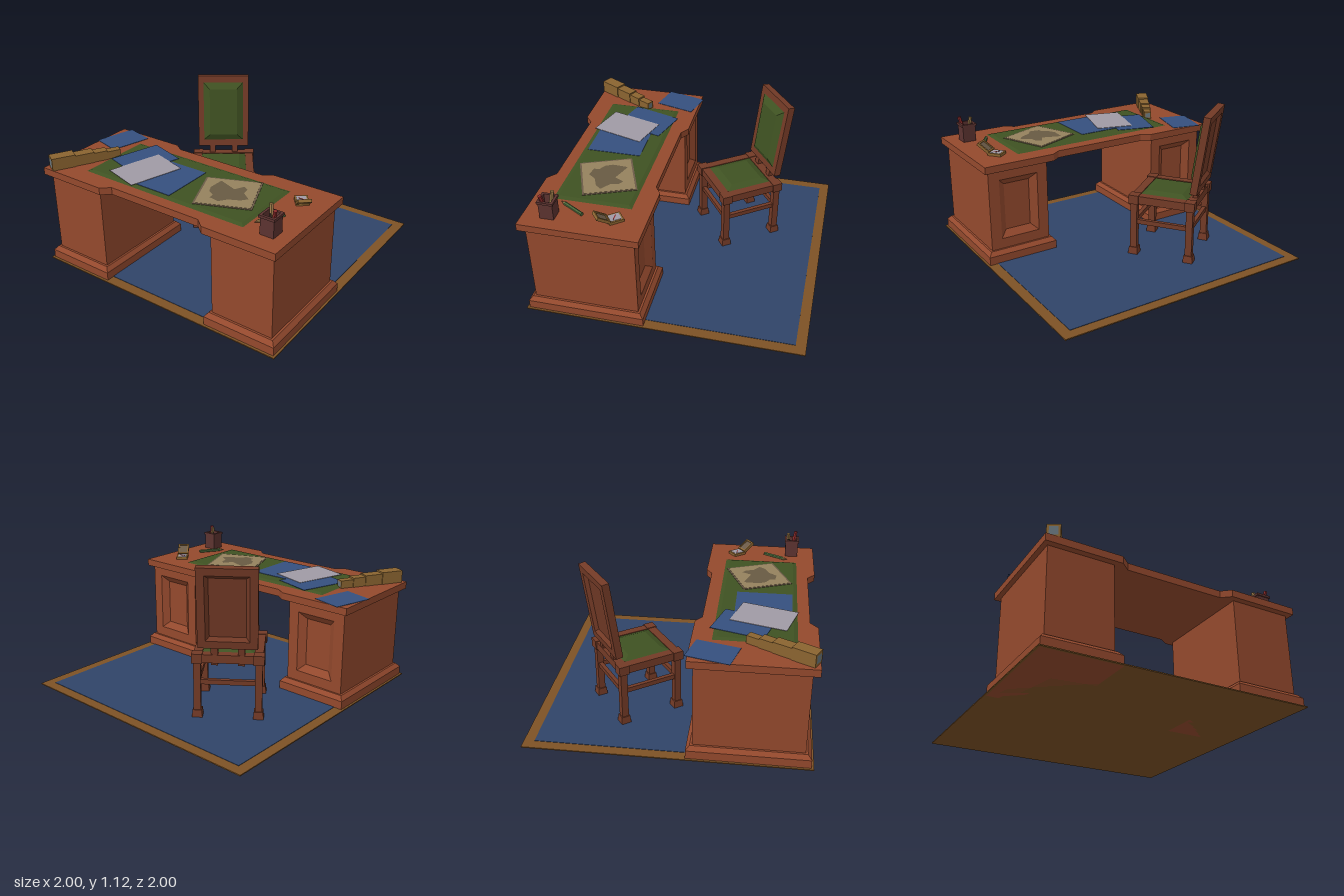
import * as THREE from 'three';

const mat = (color) => new THREE.MeshStandardMaterial({ color, flatShading: true, side: THREE.DoubleSide });
const M = {
  wood: mat(0x94492d), darkWood: mat(0x733a26), green: mat(0x3f5222), rug: mat(0x304468), border: mat(0x7d5225),
  blue: mat(0x35507f), paper: mat(0xa09aa5), parchment: mat(0x95825d), edge: mat(0x6b5a47), ink: mat(0x685a43),
  brass: mat(0x8a6430), pot: mat(0x5c3330), black: mat(0x2c2420), red: mat(0x8a2a2a), pencil: mat(0x4c6b3c),
  tan: mat(0x9c7a48), lens: mat(0x66747c),
};

function add(parent, name, geometry, material, x = 0, y = 0, z = 0) {
  const mesh = new THREE.Mesh(geometry, material);
  mesh.name = name;
  mesh.position.set(x, y, z);
  parent.add(mesh);
  return mesh;
}

function group(parent, name, x = 0, y = 0, z = 0, ry = 0) {
  const g = new THREE.Group();
  g.name = name;
  g.position.set(x, y, z);
  g.rotation.y = ry;
  parent.add(g);
  return g;
}

// Box standing on y = 0, with an optional different top size
function block(w, h, d, topW = w, topD = d) {
  const g = new THREE.BoxGeometry(w, h, d).translate(0, h / 2, 0);
  const p = g.attributes.position;
  for (let i = 0; i < p.count; i++) {
    if (p.getY(i) > h / 2) p.setXYZ(i, p.getX(i) * topW / w, h, p.getZ(i) * topD / d);
  }
  g.computeVertexNormals();
  return g;
}

// Bevelled field facing +z: a positive rise makes a cushion, a negative one a sunk panel
function field(w, h, iw, ih, rise) {
  const c = [[-0.5, -0.5], [0.5, -0.5], [0.5, 0.5], [-0.5, 0.5]];
  const outer = c.map(([x, y]) => [x * w, y * h, 0]);
  const inner = c.map(([x, y]) => [x * iw, y * ih, rise]);
  const v = [];
  const quad = (a, b, d, e) => v.push(...a, ...b, ...d, ...a, ...d, ...e);
  for (let i = 0; i < 4; i++) quad(outer[i], outer[(i + 1) % 4], inner[(i + 1) % 4], inner[i]);
  quad(...inner);
  const g = new THREE.BufferGeometry();
  g.setAttribute('position', new THREE.Float32BufferAttribute(v, 3));
  g.computeVertexNormals();
  return g;
}

// Rectangular frame whose front lies on z = 0
function frame(w, h, holeW, holeH, depth) {
  const rect = (T, a, b) => new T([[-a, -b], [a, -b], [a, b], [-a, b]].map(([x, y]) => new THREE.Vector2(x / 2, y / 2)));
  const s = rect(THREE.Shape, w, h);
  s.holes.push(rect(THREE.Path, holeW, holeH));
  return new THREE.ExtrudeGeometry(s, { depth, bevelEnabled: false }).translate(0, 0, -depth);
}

// Round stick between two points
function rod(parent, name, from, to, r0, r1, material) {
  const a = new THREE.Vector3(...from), d = new THREE.Vector3(...to).sub(a);
  const m = add(parent, name, new THREE.CylinderGeometry(r1, r0, d.length(), 6), material);
  m.position.copy(a).addScaledVector(d, 0.5);
  m.quaternion.setFromUnitVectors(new THREE.Vector3(0, 1, 0), d.normalize());
}

function buildDesk(root) {
  const desk = group(root, 'desk');
  const half = [[-0.985, 0.98], [-0.985, 0.435], [-0.93, 0.37]], right = [[-0.185, 0.37], [-0.14, 0.435], [-0.14, 0.98]];
  const flip = (pts) => pts.map(([x, z]) => [x, -z]).reverse();
  const outline = [...half, ...flip(half), ...flip(right), ...right].map((p) => new THREE.Vector2(...p));
  const top = new THREE.ExtrudeGeometry(new THREE.Shape(outline), { depth: 0.053, bevelEnabled: false });
  add(desk, 'deskTop', top.rotateX(-Math.PI / 2), M.wood, 0, 0.715, 0);

  for (const s of [1, -1]) {
    const p = group(desk, 'pedestal', -0.56, 0, s * 0.71);
    add(p, 'plinth', block(0.845, 0.07, 0.55), M.wood);
    add(p, 'plinthSlope', block(0.845, 0.03, 0.55, 0.79, 0.5), M.wood, 0, 0.07, 0);
    add(p, 'pedestalBody', block(0.717, 0.615, 0.47), M.wood, -0.0215, 0.1, 0);
    const panel = group(p, 'pedestalPanel', 0.38, 0.4075, 0, Math.PI / 2);
    add(panel, 'panelFrame', frame(0.47, 0.615, 0.305, 0.46, 0.043), M.wood);
    add(panel, 'sunkPanel', field(0.305, 0.46, 0.2, 0.36, -0.04), M.wood);
  }
  add(desk, 'writingPad', field(0.565, 1.34, 0.51, 1.285, 0.01).rotateX(-Math.PI / 2), M.green, -0.5625, 0.768, -0.015);
}

function buildChair(root) {
  const chair = group(root, 'chair', 0.298, 0.005, -0.32, -0.946);
  const r = 0.213;
  for (const x of [-r, r]) for (const z of [-r, r]) {
    const leg = group(chair, 'chairLeg', x, 0, z);
    add(leg, 'foot', block(0.075, 0.06, 0.075, 0.064, 0.064), M.darkWood);
    add(leg, 'shaft', block(0.05, 0.37, 0.05), M.darkWood, 0, 0.05, 0);
    add(leg, 'legHead', block(0.075, 0.068, 0.075), M.darkWood, 0, 0.412, 0);
  }
  for (let i = 0; i < 4; i++) {
    const side = group(chair, 'chairSide', 0, 0, 0, i * Math.PI / 2);
    add(side, 'stretcher', block(0.4, 0.035, 0.03), M.darkWood, 0, 0.25, r);
    add(side, 'seatRail', block(0.37, 0.06, 0.062), M.darkWood, 0, 0.415, r - 0.003);
  }
  add(chair, 'seatBase', block(0.38, 0.03, 0.38), M.darkWood, 0, 0.435, 0);
  add(chair, 'seatCushion', field(0.365, 0.365, 0.25, 0.25, 0.024).rotateX(-Math.PI / 2), M.green, 0, 0.468, 0);

  // Leaning back with posts, front cushion and sunk rear panel
  const back = group(chair, 'chairBack', 0, 0.53, -0.225);
  back.rotation.x = -0.135;
  for (const x of [-0.092, 0.092]) add(back, 'backPost', block(0.048, 0.16, 0.035), M.darkWood, x, -0.135, 0);
  add(back, 'backBoard', block(0.41, 0.588, 0.026), M.darkWood, 0, 0, 0.013);
  add(back, 'backCushion', field(0.32, 0.48, 0.22, 0.38, 0.03), M.green, 0, 0.294, 0.027);
  const rear = group(back, 'rearPanel', 0, 0.294, -0.026, Math.PI);
  add(rear, 'rearFrame', frame(0.41, 0.588, 0.3, 0.48, 0.026), M.darkWood);
  add(rear, 'rearSunkPanel', field(0.3, 0.48, 0.25, 0.43, -0.024), M.darkWood);
}

function buildDeskItems(root) {
  const items = group(root, 'deskItems');
  const y = 0.768;

  // Loose sheets: name, material, x, y, z, width, depth, turn
  for (const [name, m, x, h, z, w, d, turn] of [
    ['blueSheet', M.blue, -0.607, 0.778, -0.16, 0.406, 0.39, 0],
    ['turnedBlueSheet', M.blue, -0.48, 0.781, -0.46, 0.385, 0.3, -0.295],
    ['paleSheet', M.paper, -0.615, 0.784, -0.34, 0.41, 0.29, -0.285],
    ['cornerSheet', M.blue, -0.3, y, -0.845, 0.31, 0.225, -0.26],
    ['mapEdge', M.edge, -0.553, 0.778, 0.337, 0.385, 0.4, 0.388],
    ['mapSheet', M.parchment, -0.553, 0.78, 0.337, 0.36, 0.375, 0.388],
  ]) add(items, name, block(w, 0.003, d), m, x, h, z).rotation.y = turn;
  const land = [[-0.56, 0.195], [-0.445, 0.2], [-0.465, 0.26], [-0.495, 0.345], [-0.425, 0.38], [-0.45, 0.42], [-0.505, 0.43],
    [-0.555, 0.5], [-0.6, 0.465], [-0.635, 0.39], [-0.69, 0.35], [-0.68, 0.275], [-0.64, 0.27], [-0.61, 0.22]];
  const shape = new THREE.Shape(land.map(([x, z]) => new THREE.Vector2(x, -z)));
  add(items, 'mapLand', new THREE.ShapeGeometry(shape).rotateX(-Math.PI / 2), M.ink, 0, 0.7845, 0);

  // Square pot with pens
  const pot = group(items, 'penPot', -0.803, y, 0.833);
  add(pot, 'potFloor', block(0.1, 0.015, 0.1), M.pot);
  add(pot, 'potWall', frame(0.1, 0.1, 0.08, 0.08, 0.125).rotateX(-Math.PI / 2), M.pot, 0, 0.125, 0);
  add(pot, 'potRim', frame(0.115, 0.115, 0.08, 0.08, 0.018).rotateX(-Math.PI / 2), M.pot, 0, 0.138, 0);
  rod(pot, 'redPen', [0, 0.02, 0.01], [-0.03, 0.185, 0.045], 0.014, 0.014, M.red);
  rod(pot, 'tanPen', [0.015, 0.02, 0], [0.032, 0.187, -0.022], 0.014, 0.014, M.tan);
  rod(pot, 'darkPen', [-0.01, 0.02, 0], [0.03, 0.145, -0.02], 0.012, 0.012, M.black);

  // Pencil
  rod(items, 'pencil', [-0.74, y + 0.012, 0.705], [-0.585, y + 0.012, 0.795], 0.013, 0.013, M.pencil);
  rod(items, 'pencilTip', [-0.74, y + 0.012, 0.705], [-0.77, y + 0.012, 0.688], 0.013, 0.001, M.tan);

  // Telescope of shrinking square tubes
  const scope = group(items, 'telescope', -0.967, y, -0.92, -0.497);
  let x = 0;
  [[0.17, 0.092], [0.14, 0.08], [0.1, 0.07], [0.1, 0.058]].forEach(([len, size]) => {
    add(scope, 'telescopeTube', block(len, size, size), M.brass, x + len / 2, 0, 0);
    x += len;
  });
  for (const [px, size, turn] of [[-0.001, 0.092, -1], [x + 0.001, 0.058, 1]]) {
    add(scope, 'telescopeLens', new THREE.PlaneGeometry(size * 0.65, size * 0.65), M.lens, px, size / 2, 0).rotation.y = turn * Math.PI / 2;
  }

  // Open compass box
  const compass = group(items, 'compass', -0.4, y, 0.82, 0.67);
  add(compass, 'compassBase', block(0.105, 0.02, 0.09), M.brass, 0.0525, 0, 0);
  add(compass, 'compassDial', block(0.08, 0.002, 0.066), M.paper, 0.0525, 0.02, 0);
  add(compass, 'compassNeedle', block(0.05, 0.002, 0.007), M.red, 0.0525, 0.022, 0).rotation.y = 0.9;
  const lid = group(compass, 'compassLid', 0, 0.012, 0);
  lid.rotation.z = -0.6;
  add(lid, 'lidBoard', block(0.105, 0.012, 0.09), M.brass, -0.0525, 0, 0);
  add(lid, 'lidRim', frame(0.105, 0.09, 0.08, 0.066, 0.012).rotateX(-Math.PI / 2), M.brass, -0.0525, 0.022, 0);
  add(lid, 'lidLining', block(0.08, 0.002, 0.066), M.edge, -0.0525, 0.012, 0);
}

export function createModel() {
  const root = new THREE.Group();
  root.name = 'studyDeskSet';
  add(root, 'rugBorder', block(2, 0.008, 2), M.border);
  add(root, 'rugField', block(1.85, 0.003, 1.85), M.rug, 0, 0.008, 0);
  buildDesk(root);
  buildChair(root);
  buildDeskItems(root);
  return root;
}
